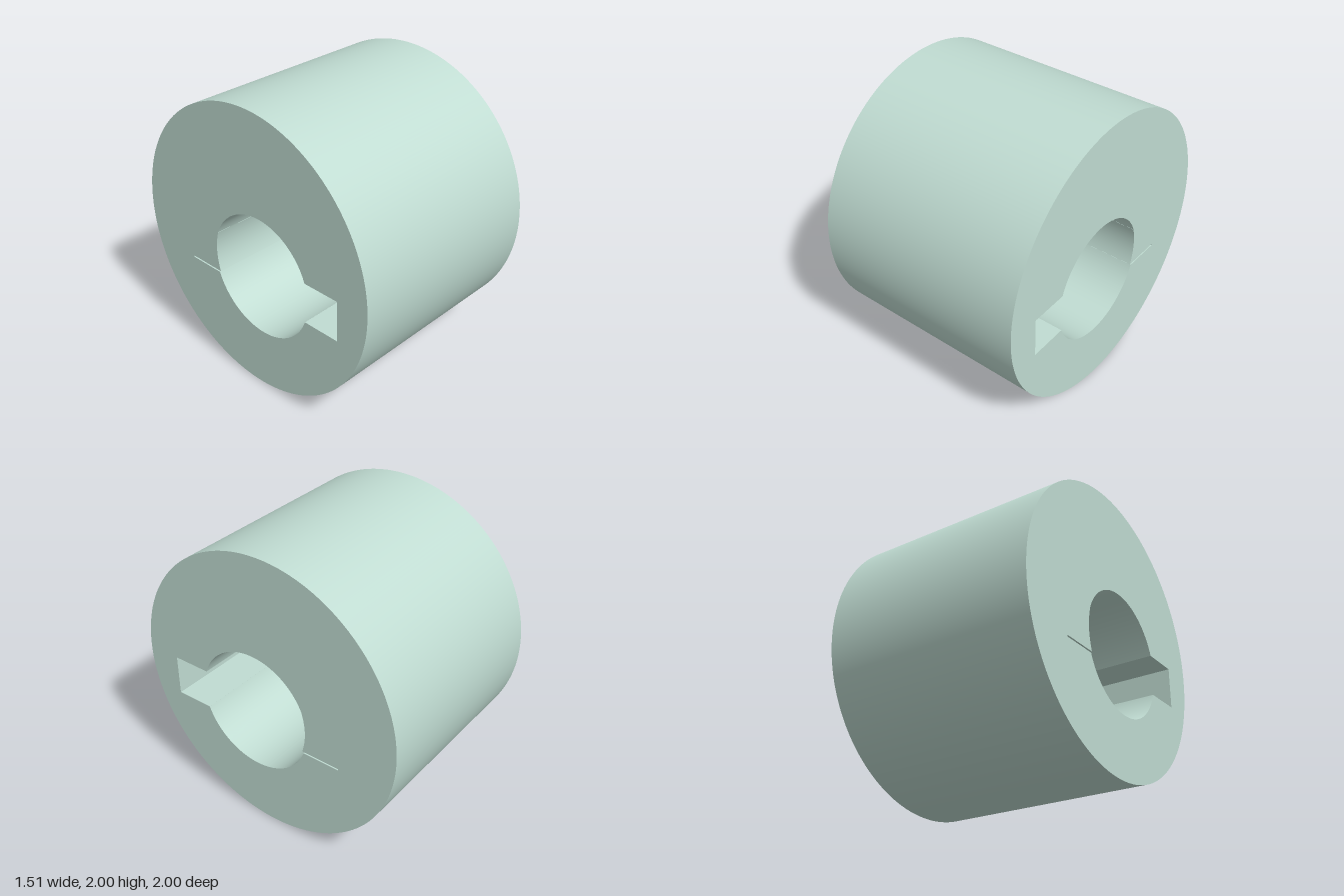
import * as THREE from 'three';
import { toCreasedNormals } from 'three/addons/utils/BufferGeometryUtils.js';

const LENGTH = 1.514;
const BORE = { x: -0.09, y: 0.863, r: 0.427 };

// Adds a counter-clockwise arc of the bore between two points on its rim
function boreArc(path, x0, y0, x1, y1) {
  path.absarc(BORE.x, BORE.y, BORE.r,
    Math.atan2(y0 - BORE.y, x0 - BORE.x),
    Math.atan2(y1 - BORE.y, x1 - BORE.x), false);
}

export function createModel() {
  const model = new THREE.Group();
  model.name = 'slottedCollar';

  // Round outer body
  const section = new THREE.Shape();
  section.absarc(0, 1, 1, 0, Math.PI * 2, false);

  // Off-centre bore with a wide keyway on one side and a thin slit on the other
  const hole = new THREE.Path();
  hole.moveTo(-0.763, 0.717);
  hole.lineTo(-0.492, 0.717);
  boreArc(hole, -0.492, 0.717, 0.311, 0.717);
  hole.lineTo(0.58, 0.717);
  hole.lineTo(0.58, 0.728);
  hole.lineTo(0.301, 0.728);
  hole.quadraticCurveTo(0.349, 0.877, 0.303, 1.027);
  boreArc(hole, 0.303, 1.027, -0.493, 1.005);
  hole.lineTo(-0.763, 1.005);
  hole.closePath();
  section.holes.push(hole);

  const extruded = new THREE.ExtrudeGeometry(section, {
    depth: LENGTH, bevelEnabled: false, curveSegments: 128,
  });
  extruded.translate(0, 0, -LENGTH / 2);
  extruded.rotateY(Math.PI / 2); // run the axis along x

  const collar = new THREE.Mesh(
    toCreasedNormals(extruded, 0.3),
    new THREE.MeshStandardMaterial({ color: 0xc0dcd2 }),
  );
  collar.name = 'collar';
  model.add(collar);
  return model;
}
